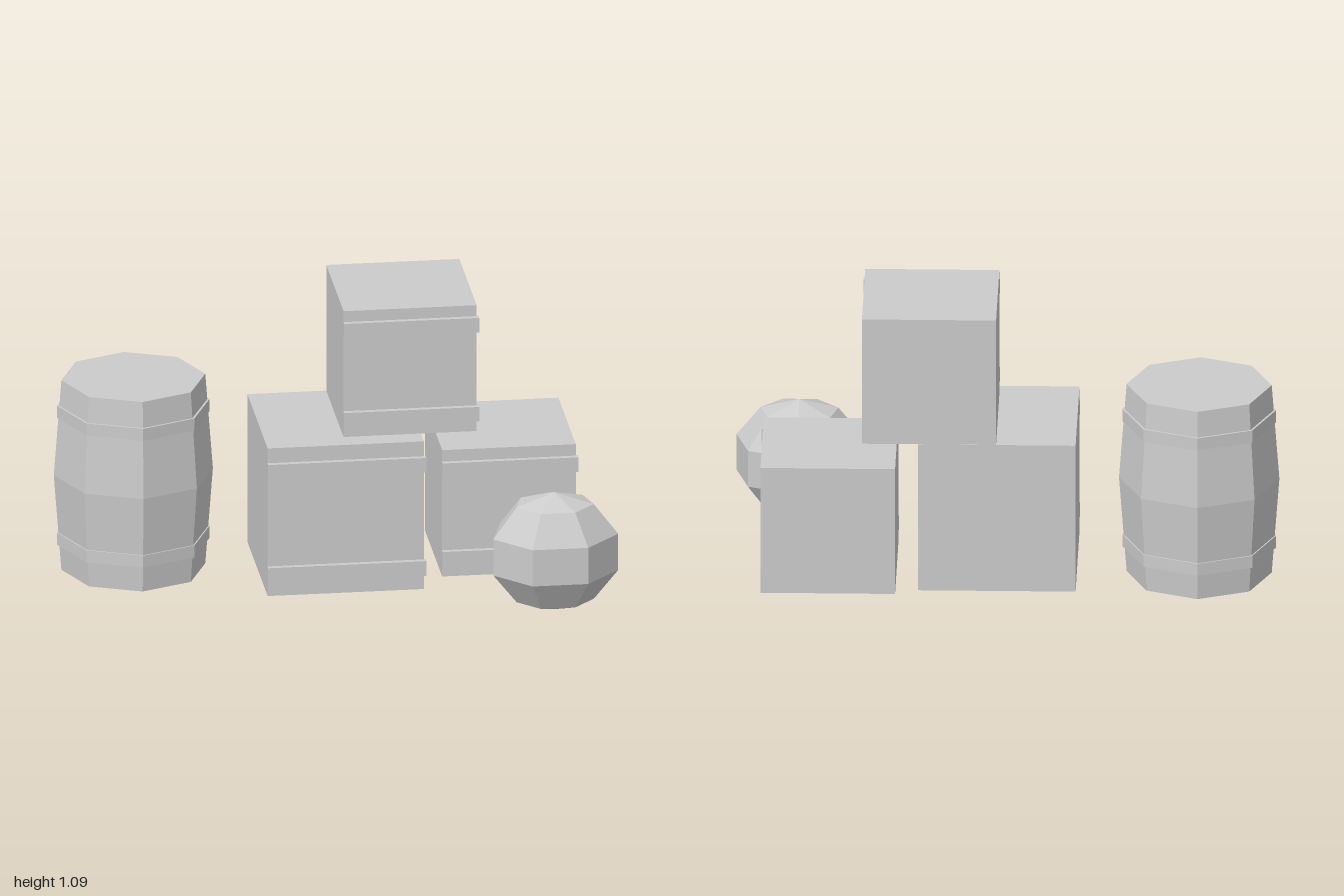
import * as THREE from 'three';

const material = new THREE.MeshStandardMaterial({ color: 0xcccccc, flatShading: true });

function add(parent, name, geometry, x, y, z) {
  const mesh = new THREE.Mesh(geometry, material);
  mesh.name = name;
  mesh.position.set(x, y, z);
  parent.add(mesh);
  return mesh;
}

// Cube with two slats across the front; x, y, z is the centre of its base
function crate(name, size, x, y, z, slatYs) {
  const group = new THREE.Group();
  group.name = name;
  group.position.set(x, y, z);
  add(group, 'crateBody', new THREE.BoxGeometry(size, size, size), 0, size / 2, 0);
  for (const slatY of slatYs) {
    add(group, 'crateSlat', new THREE.BoxGeometry(size + 0.008, 0.057, 0.024),
      0.003, slatY - y, size / 2 + 0.008);
  }
  return group;
}

// Eight-sided barrel bulging at the middle, with two hoops
function barrel(x, y, z) {
  const group = new THREE.Group();
  group.name = 'barrel';
  group.position.set(x, y, z);
  const profile = [[0, 0], [0.265, 0], [0.293, 0.37], [0.265, 0.738], [0, 0.738]]
    .map(([r, h]) => new THREE.Vector2(r, h));
  add(group, 'barrelBody', new THREE.LatheGeometry(profile, 8), 0, 0, 0);
  for (const h of [0.122, 0.616]) {
    add(group, 'barrelHoop', new THREE.CylinderGeometry(0.281, 0.281, 0.047, 8), 0, h, 0);
  }
  return group;
}

export function createModel() {
  const model = new THREE.Group();
  model.name = 'cratesAndBarrel';
  model.add(
    barrel(-0.705, 0.026, -0.23),
    crate('largeCrate', 0.575, 0.029, 0.026, -0.146, [0.113, 0.515]),
    crate('topCrate', 0.49, 0.277, 0.601, -0.187, [0.673, 1.02]),
    crate('sideCrate', 0.492, 0.646, 0.026, -0.226, [0.1, 0.445]),
  );
  // Faceted sack, slightly flattened front to back
  const sack = add(model, 'sack', new THREE.SphereGeometry(1, 7, 5, -Math.PI / 2), 0.77, 0.23, 0.348);
  sack.scale.set(0.248, 0.228, 0.205);
  return model;
}
